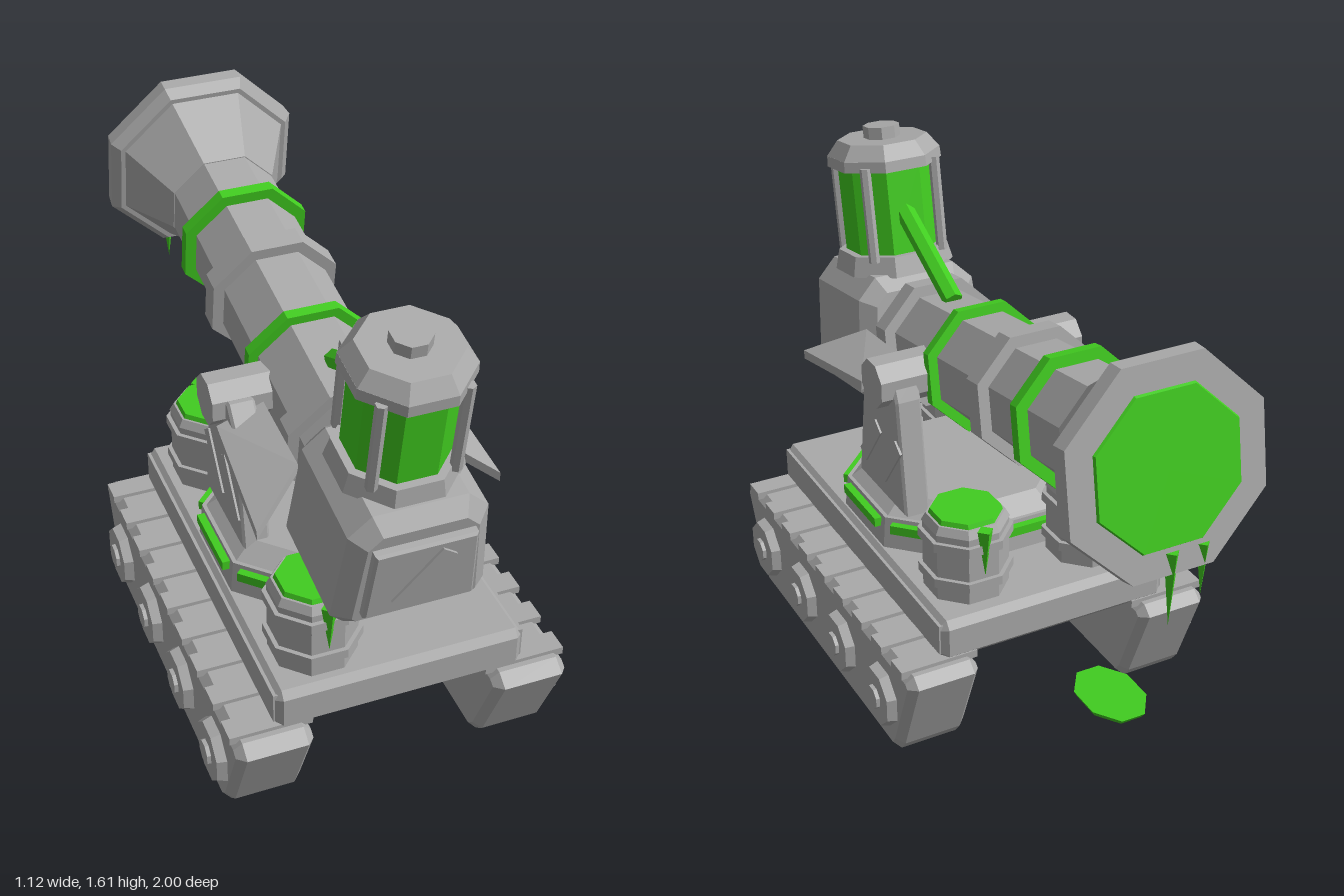
import * as THREE from 'three';
import { ConvexGeometry } from 'three/addons/geometries/ConvexGeometry.js';

const grey = new THREE.MeshStandardMaterial({ color: 0xaaaaaa });
const green = new THREE.MeshStandardMaterial({ color: 0x41cc20 });
grey.name = 'grey metal';
green.name = 'green slime';

// Adds a faceted mesh to a parent
function add(parent, name, geometry, material = grey, x = 0, y = 0, z = 0) {
  const geo = geometry.index ? geometry.toNonIndexed() : geometry;
  geo.computeVertexNormals();
  const mesh = new THREE.Mesh(geo, material);
  mesh.name = name;
  mesh.position.set(x, y, z);
  parent.add(mesh);
  return mesh;
}

// Upright octagonal prism, sized by the distance to its flat sides
function octagon(top, bottom, height) {
  const k = 1 / Math.cos(Math.PI / 8);
  return new THREE.CylinderGeometry(top * k, bottom * k, height, 8).rotateY(Math.PI / 8);
}

// Extruded outline with bevelled ends, centred on its depth
function bevelled(points, depth, bevel) {
  const shape = new THREE.Shape(points.map(([x, y]) => new THREE.Vector2(x, y)));
  return new THREE.ExtrudeGeometry(shape, {
    depth: depth - 2 * bevel, bevelEnabled: bevel > 0, bevelSegments: 1,
    bevelSize: bevel, bevelThickness: bevel, bevelOffset: -bevel,
  }).translate(0, 0, bevel - depth / 2);
}

// Side outline given as (z, y), extruded along x
const sideways = (points, depth, bevel) => bevelled(points, depth, bevel).rotateY(-Math.PI / 2);

const box = (w, h, d) => new THREE.BoxGeometry(w, h, d);

// Hanging slime drip, its top at the origin
const drip = (r, h) => new THREE.ConeGeometry(r, h, 4).rotateX(Math.PI).translate(0, -h / 2, 0);

function buildTrack(side) {
  const track = new THREE.Group();
  track.name = side > 0 ? 'leftTrack' : 'rightTrack';
  add(track, 'trackBody', sideways([
    [0.77, 0.012], [0.81, 0.05], [0.93, 0.325], [0.885, 0.355],
    [-0.385, 0.355], [-0.42, 0.325], [-0.31, 0.05], [-0.28, 0.012],
  ], 0.236, 0.025), grey, side * 0.402);
  for (let i = 0; i < 9; i++) {
    add(track, 'trackPad', box(0.254, 0.025, 0.075), grey, side * 0.4, 0.355, -0.33 + i * 0.145);
  }
  for (let i = 0; i < 4; i++) {
    const z = 0.724 - i * 0.3125;
    const turn = (g) => g.rotateZ(-side * Math.PI / 2);
    add(track, 'wheel', turn(octagon(0.088, 0.1, 0.04)), grey, side * 0.53, 0.187, z);
    add(track, 'wheelHub', turn(octagon(0.036, 0.038, 0.03)), grey, side * 0.547, 0.187, z);
  }
  return track;
}

function buildDrum(x, z, dripAngle) {
  const drum = new THREE.Group();
  drum.name = 'drum';
  drum.position.set(x, 0.49, z);
  add(drum, 'drumBody', octagon(0.122, 0.122, 0.23), grey, 0, 0.115, 0);
  add(drum, 'drumRim', octagon(0.112, 0.125, 0.025), grey, 0, 0.242, 0);
  add(drum, 'drumBand', octagon(0.135, 0.135, 0.03), grey, 0, 0.065, 0);
  add(drum, 'drumBand', octagon(0.135, 0.135, 0.03), grey, 0, 0.19, 0);
  add(drum, 'drumSlime', octagon(0.1, 0.105, 0.015), green, 0, 0.262, 0);
  add(drum, 'drumDrip', drip(0.026, 0.16), green,
    0.13 * Math.sin(dripAngle), 0.255, 0.13 * Math.cos(dripAngle));
  return drum;
}

// Tilted gun: muzzle along -z, boiler and tank at +z, trunnion at the origin
function buildCannon() {
  const gun = new THREE.Group();
  gun.name = 'cannon';
  gun.position.set(0, 1.04, 0.18);
  gun.rotation.x = 0.165;

  // A round section between two distances along the barrel
  const section = (name, from, to, r0, r1, material) =>
    add(gun, name, octagon(r1, r0, to - from).rotateX(-Math.PI / 2), material, 0, 0, -(from + to) / 2);
  section('barrel', -0.4, 0.87, 0.165, 0.165, grey);
  section('barrelBand', -0.285, -0.215, 0.2, 0.2, grey);
  section('barrelBand', 0.365, 0.435, 0.2, 0.2, grey);
  section('slimeRing', 0.06, 0.093, 0.195, 0.195, green);
  section('slimeRing', 0.635, 0.672, 0.2, 0.2, green);
  section('muzzleFlare', 0.855, 1.065, 0.168, 0.275, grey);
  section('muzzleRim', 1.055, 1.085, 0.285, 0.31, grey);
  section('muzzleRim', 1.085, 1.135, 0.31, 0.305, grey);
  section('muzzleSlime', 1.134, 1.143, 0.225, 0.22, green);

  // Boiler block with its front plate
  add(gun, 'boiler', bevelled([
    [-0.19, -0.21], [0.19, -0.21], [0.232, -0.17], [0.205, 0.14],
    [0.14, 0.205], [-0.14, 0.205], [-0.205, 0.14], [-0.232, -0.17],
  ], 0.43, 0.045), grey, 0, 0, 0.565);
  add(gun, 'frontPlate', bevelled([
    [-0.165, -0.125], [0.165, -0.125], [0.15, 0.125], [-0.15, 0.125],
  ], 0.035, 0.008), grey, 0, -0.005, 0.79);
  add(gun, 'plateStreak', box(0.055, 0.22, 0.008), grey, 0, -0.005, 0.811).rotation.z = -0.65;

  // Slime tank
  const tank = new THREE.Group();
  tank.name = 'slimeTank';
  tank.position.set(0, 0, 0.55);
  gun.add(tank);
  add(tank, 'tankBase', octagon(0.165, 0.18, 0.065), grey, 0, 0.228, 0);
  add(tank, 'tankGlass', octagon(0.142, 0.142, 0.3), green, 0, 0.4, 0);
  add(tank, 'tankCapRim', octagon(0.17, 0.172, 0.035), grey, 0, 0.557, 0);
  add(tank, 'tankCap', octagon(0.135, 0.17, 0.048), grey, 0, 0.598, 0);
  add(tank, 'tankKnob', octagon(0.055, 0.055, 0.042), grey, 0, 0.64, 0);
  for (const x of [-0.122, 0.122]) for (const z of [-0.122, 0.122]) {
    add(tank, 'tankPost', new THREE.CylinderGeometry(0.018, 0.018, 0.31, 6), grey, x, 0.4, z);
  }

  // Feed pipe from tank to barrel
  const a = new THREE.Vector3(0, 0.4, 0.43), b = new THREE.Vector3(0, 0.165, 0.11);
  const pipe = add(gun, 'feedPipe', new THREE.CylinderGeometry(0.032, 0.032, a.distanceTo(b), 6), green);
  pipe.position.copy(a).lerp(b, 0.5);
  pipe.quaternion.setFromUnitVectors(new THREE.Vector3(0, 1, 0), a.clone().sub(b).normalize());
  return gun;
}

function buildMount(side) {
  const mount = new THREE.Group();
  mount.name = side > 0 ? 'leftMount' : 'rightMount';
  add(mount, 'bracket', sideways([
    [0.39, 0.62], [0.33, 1.0], [0.27, 1.07], [0.12, 1.07], [0.09, 1.0], [0.045, 0.62],
  ], 0.085, 0.008), grey, side * 0.268);
  add(mount, 'trunnion', octagon(0.073, 0.073, 0.2).rotateZ(Math.PI / 2), grey, side * 0.25, 1.04, 0.18);
  for (const [y, z] of [[0.78, 0.285], [0.775, 0.14]]) {
    add(mount, 'bracketStreak', box(0.008, 0.2, 0.05), grey, side * 0.313, y, z).rotation.x = -0.65;
  }
  // Sloping side fin
  const fin = [[0.37, 0.905, 0.68], [0.345, 0.975, 0.27], [0.2, 1.0, 0.55], [0.2, 1.025, 0.27]];
  add(mount, 'fin', new ConvexGeometry(fin.flatMap(([x, y, z]) => [
    new THREE.Vector3(side * x, y, z), new THREE.Vector3(side * x, y + 0.03, z),
  ])));
  return mount;
}

export function createModel() {
  const model = new THREE.Group();
  model.name = 'slimeCannonVehicle';

  // Tracks and chassis
  for (const side of [-1, 1]) model.add(buildTrack(side), buildMount(side));
  add(model, 'chassis', sideways([
    [0.85, 0.345], [0.875, 0.37], [0.875, 0.465], [0.855, 0.49],
    [-0.345, 0.49], [-0.365, 0.465], [-0.365, 0.37], [-0.34, 0.345],
  ], 0.77, 0.02));
  for (const side of [-1, 1]) {
    add(model, 'chassisSkirt', box(0.02, 0.1, 1.2), grey, side * 0.38, 0.425, 0.255);
  }

  // Turntable with slime-filled slots
  add(model, 'turntable', octagon(0.35, 0.36, 0.11), grey, 0, 0.54, 0.26);
  add(model, 'turntableTop', octagon(0.28, 0.34, 0.05), grey, 0, 0.618, 0.26);
  for (let i = 0; i < 8; i++) {
    const t = i * Math.PI / 4;
    add(model, 'slimeSlot', box(0.24, 0.03, 0.03), green,
      0.36 * Math.sin(t), 0.567, 0.26 + 0.36 * Math.cos(t)).rotation.y = t;
  }

  // Drums
  model.add(buildDrum(-0.215, 0.71, 0), buildDrum(-0.215, -0.18, Math.PI), buildDrum(0.215, -0.18, Math.PI));

  // Gun, muzzle drips and puddle
  model.add(buildCannon());
  add(model, 'muzzleDrip', drip(0.025, 0.24), green, 0, 0.99, -0.975);
  add(model, 'muzzleDrip', drip(0.022, 0.17), green, -0.1, 0.99, -0.975);
  add(model, 'puddle', octagon(0.1, 0.09, 0.02), green, -0.21, 0.015, -0.36).scale.z = 1.45;
  return model;
}
